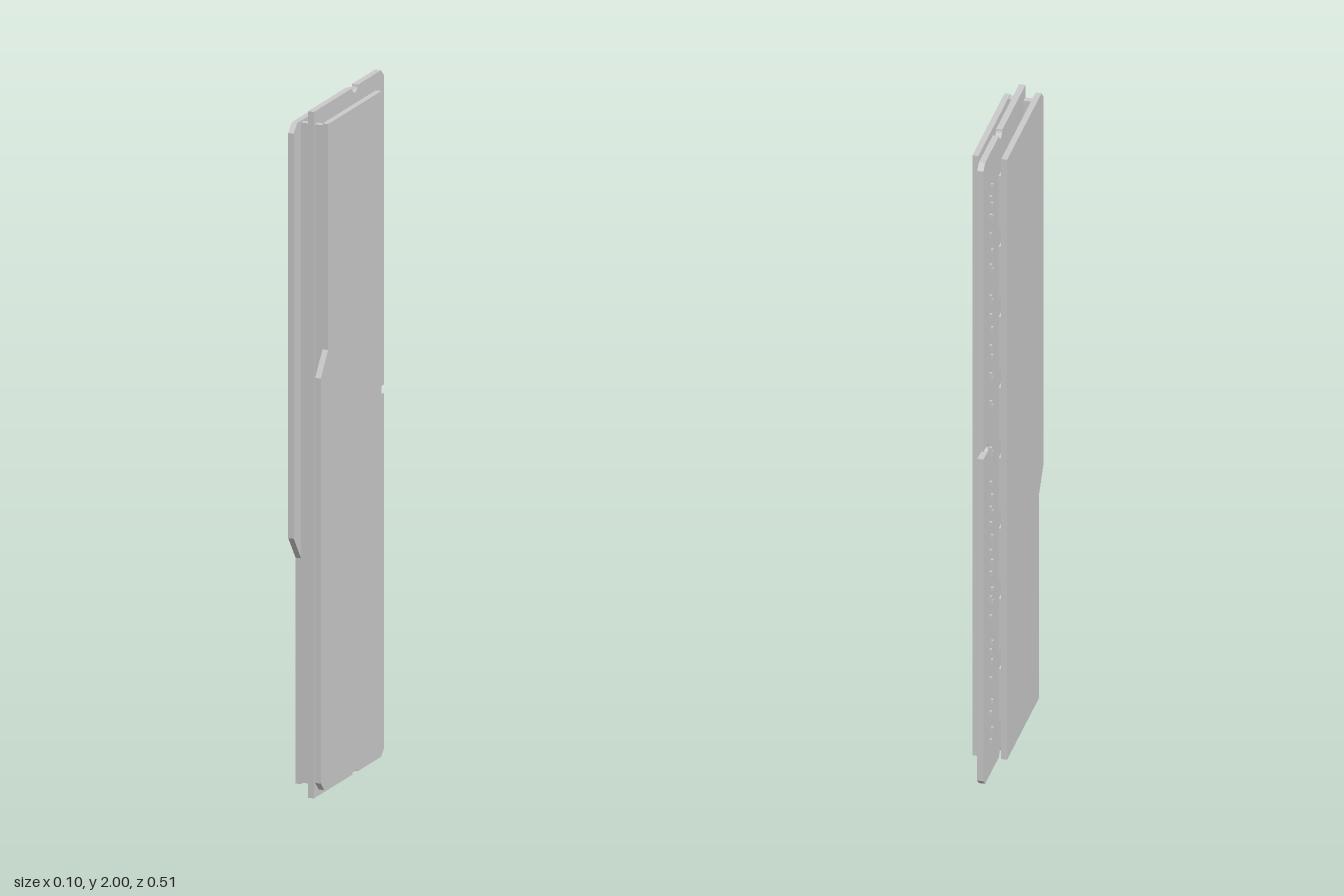
import * as THREE from 'three';

const material = new THREE.MeshStandardMaterial({ color: 0xcccccc, flatShading: true });

// Extrude an outline drawn in (z, y) along x, from x0 to x1
function slab(name, shape, x0, x1) {
  const geo = new THREE.ExtrudeGeometry(shape, { depth: x1 - x0, bevelEnabled: false, curveSegments: 12 });
  geo.rotateY(Math.PI / 2); // shape x becomes -z
  geo.translate(x0, 0, 0);
  const mesh = new THREE.Mesh(geo, material);
  mesh.name = name;
  return mesh;
}

function block(name, [x0, x1], [y0, y1], [z0, z1]) {
  const mesh = new THREE.Mesh(new THREE.BoxGeometry(x1 - x0, y1 - y0, z1 - z0), material);
  mesh.position.set((x0 + x1) / 2, (y0 + y1) / 2, (z0 + z1) / 2);
  mesh.name = name;
  return mesh;
}

// Circuit board: clipped back corners, half-round end notches, rounded key slot
function boardShape() {
  const s = new THREE.Shape();
  const back = 0.258, front = -0.212, c = 0.018, notch = 0.065, r = 0.018;
  const slotY = 1.067, slotR = 0.0125, slotEnd = 0.215;
  s.moveTo(front, 0);
  s.lineTo(notch - r, 0);
  s.absarc(notch, 0, r, Math.PI, 0, true);
  s.lineTo(back - c, 0);
  s.lineTo(back, c);
  s.lineTo(back, slotY - slotR);
  s.lineTo(slotEnd, slotY - slotR);
  s.absarc(slotEnd, slotY, slotR, -Math.PI / 2, Math.PI / 2, true);
  s.lineTo(back, slotY + slotR);
  s.lineTo(back, 2 - c);
  s.lineTo(back - c, 2);
  s.lineTo(notch + r, 2);
  s.absarc(notch, 2, r, 0, Math.PI, true);
  s.lineTo(front, 2);
  s.closePath();
  return s;
}

// Cover plate: wide at one end, stepped back at the other
function plateShape(flip) {
  const pts = [[-0.153, 0.035], [0.232, 0.035], [0.255, 0.06], [0.255, 1.24], [0.206, 1.31], [0.206, 1.968], [-0.153, 1.968]];
  return new THREE.Shape(pts.map(([z, y]) => new THREE.Vector2(-z, flip ? 2.003 - y : y)));
}

export function createModel() {
  const model = new THREE.Group();
  model.name = 'memoryModule';

  model.add(slab('circuitBoard', boardShape(), -0.009, 0.009));
  model.add(slab('leftCoverPlate', plateShape(false), 0.033, 0.05));
  model.add(slab('rightCoverPlate', plateShape(true), -0.05, -0.033));

  // Spacer strips joining the plates to the board near the front
  const inner = [0.04, 1.963];
  model.add(block('leftSpacer', [0.009, 0.033], inner, [0.188, 0.207]));
  model.add(block('rightSpacer', [-0.033, -0.009], inner, [0.188, 0.207]));

  // Thermal pads behind the plates
  model.add(block('leftThermalPad', [0.009, 0.033], [0.08, 1.92], [-0.1, 0.08]));
  model.add(block('rightThermalPad', [-0.033, -0.025], [0.08, 1.92], [-0.1, 0.08]));

  // Row of memory chips on the right side
  const chips = new THREE.Group();
  chips.name = 'memoryChips';
  for (let i = 0; i < 8; i++) {
    const y = 0.205 + i * 0.227;
    chips.add(block('chip', [-0.025, -0.011], [y - 0.085, y + 0.085], [-0.096, 0.076]));
    chips.add(block('chipContacts', [-0.011, -0.009], [y - 0.075, y + 0.075], [-0.086, 0.066]));
  }
  model.add(chips);

  // Tiny surface components in two staggered columns, heights in hundredths
  const rows = {
    left: [6, 11, 14, 17, 22, 25, 29, 35, 39, 42, 46, 49, 52, 56, 62, 66, 70, 75, 81, 86, 89, 94, 98, 101,
      111, 116, 121, 124, 128, 131, 134, 137, 141, 143, 146, 149, 152, 155, 158, 162, 165, 169, 173, 175, 181, 186, 191],
    right: [11, 14, 20, 23, 31, 36, 40, 42, 51, 55, 57, 59, 65, 68, 72, 76, 81, 84, 86, 89, 94, 103, 105,
      118, 120, 127, 129, 134, 138, 143, 148, 152, 154, 162, 164, 168, 174, 179, 180, 183, 186, 189],
  };
  for (const [side, heights] of Object.entries(rows)) {
    const group = new THREE.Group();
    group.name = side + 'SurfaceComponents';
    const x = side === 'left' ? [0.009, 0.016] : [-0.016, -0.009];
    heights.forEach((h, i) => {
      const y = h / 100;
      const z = i % 2 ? -0.174 : -0.189;
      group.add(block('component', x, [y - 0.007, y + 0.007], [z - 0.004, z + 0.004]));
    });
    model.add(group);
  }
  return model;
}
